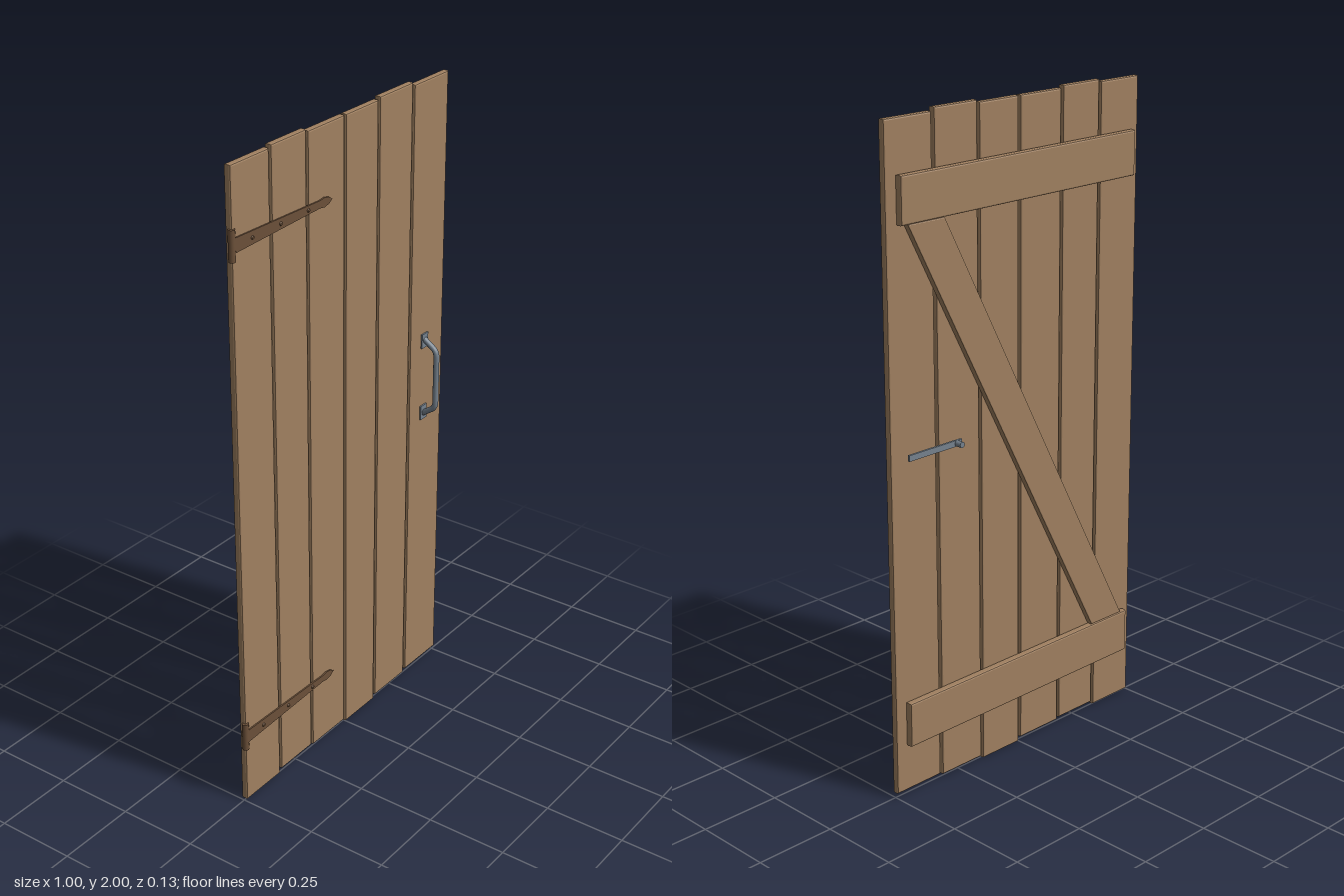
import * as THREE from 'three';

const wood = new THREE.MeshStandardMaterial({ color: 0xa08060 });
wood.name = 'wood';
const strapBrown = new THREE.MeshStandardMaterial({ color: 0x6b5039 });
strapBrown.name = 'hinge brown';
const steel = new THREE.MeshStandardMaterial({ color: 0x76828e });
steel.name = 'grey steel';

function add(parent, name, geometry, material, x = 0, y = 0, z = 0) {
  const mesh = new THREE.Mesh(geometry, material);
  mesh.name = name;
  mesh.position.set(x, y, z);
  parent.add(mesh);
  return mesh;
}

// Board with softened edges: an outline in x/y filling z0 to z1
function board(points, z0, z1, bevel) {
  const shape = new THREE.Shape(points.map(([x, y]) => new THREE.Vector2(x, y)));
  const geometry = new THREE.ExtrudeGeometry(shape, {
    depth: z1 - z0 - 2 * bevel, bevelEnabled: bevel > 0, bevelThickness: bevel,
    bevelSize: bevel, bevelOffset: -bevel, bevelSegments: 2,
  });
  return geometry.translate(0, 0, z0 + bevel);
}

const rect = (x0, x1, y0, y1) => [[x0, y0], [x1, y0], [x1, y1], [x0, y1]];

// Long tapering strap with a leaf tip, its rivets and the pin barrel
function createHinge(name, y) {
  const hinge = new THREE.Group();
  hinge.name = name;
  hinge.position.y = y;
  const upper = [[-0.07, 0], [-0.085, 0.01], [-0.105, 0.014], [-0.125, 0.011], [-0.49, 0.021]];
  const lower = upper.slice(1).reverse().map(([x, v]) => [x, -v]);
  add(hinge, 'hingeStrap', board([...upper, ...lower], 0.009, 0.0145, 0), strapBrown);
  add(hinge, 'hingeBarrel', new THREE.CylinderGeometry(0.01, 0.01, 0.09, 16), strapBrown, -0.494, 0, 0.007);
  for (const x of [-0.418, -0.298, -0.178]) {
    const rivet = add(hinge, 'hingeRivet', new THREE.CylinderGeometry(0.004, 0.006, 0.004, 12), strapBrown, x, 0, 0.0162);
    rivet.rotation.x = Math.PI / 2;
  }
  return hinge;
}

// Bent pull handle on two mounting plates
function createHandle() {
  const handle = new THREE.Group();
  handle.name = 'handle';
  handle.position.set(0.4, 1.055, 0);
  const path = new THREE.CurvePath();
  const v = (y, z) => new THREE.Vector3(0, y, z);
  path.add(new THREE.LineCurve3(v(0.125, 0.012), v(0.103, 0.044)));
  path.add(new THREE.QuadraticBezierCurve3(v(0.103, 0.044), v(0.094, 0.057), v(0.076, 0.057)));
  path.add(new THREE.LineCurve3(v(0.076, 0.057), v(-0.076, 0.057)));
  path.add(new THREE.QuadraticBezierCurve3(v(-0.076, 0.057), v(-0.094, 0.057), v(-0.103, 0.044)));
  path.add(new THREE.LineCurve3(v(-0.103, 0.044), v(-0.125, 0.012)));
  add(handle, 'handleGrip', new THREE.TubeGeometry(path, 40, 0.009, 12), steel);
  for (const s of [1, -1]) {
    add(handle, 'handlePlate', new THREE.BoxGeometry(0.032, 0.046, 0.005), steel, 0, s * 0.121, 0.0125);
  }
  return handle;
}

export function createModel() {
  const door = new THREE.Group();
  door.name = 'plankDoor';

  // Upright planks of slightly uneven width and length: x0, x1, y0, y1
  const planks = [
    [-0.496, -0.337, 0.005, 1.993], [-0.328, -0.179, 0.016, 2], [-0.17, -0.008, 0.011, 1.993],
    [0.001, 0.152, 0, 1.993], [0.161, 0.32, 0.01, 2], [0.33, 0.5, 0.016, 1.99],
  ];
  for (const p of planks) add(door, 'plank', board(rect(...p), -0.012, 0.01, 0.005), wood);

  // Cross ledges and the diagonal brace on the back
  add(door, 'upperLedge', board(rect(-0.46, 0.465, 1.705, 1.84), -0.037, -0.013, 0.005), wood);
  add(door, 'lowerLedge', board(rect(-0.46, 0.465, 0.165, 0.302), -0.037, -0.013, 0.005), wood);
  const brace = [[-0.438, 0.302], [-0.303, 0.302], [0.44, 1.705], [0.305, 1.705]];
  add(door, 'diagonalBrace', board(brace, -0.033, -0.0125, 0.004), wood);

  door.add(createHinge('upperHinge', 1.775), createHinge('lowerHinge', 0.233));
  door.add(createHandle());

  // Latch bar with a short knob
  add(door, 'latchBar', new THREE.BoxGeometry(0.198, 0.018, 0.007), steel, 0.362, 1.055, -0.0425);
  const knob = add(door, 'latchKnob', new THREE.CylinderGeometry(0.009, 0.009, 0.025, 16), steel, 0.281, 1.055, -0.055);
  knob.rotation.x = Math.PI / 2;
  return door;
}
